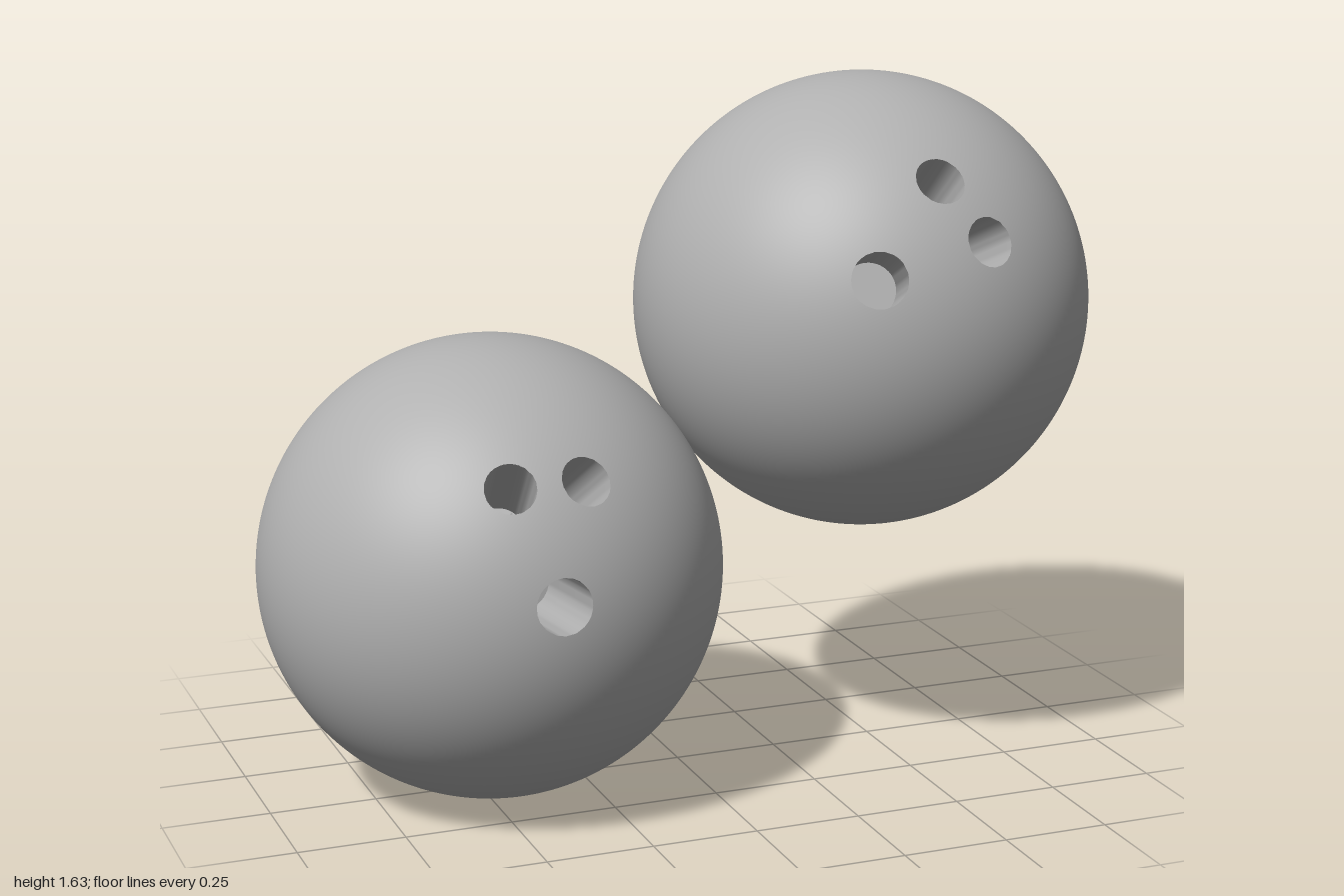
import * as THREE from 'three';
import { toCreasedNormals } from 'three/addons/utils/BufferGeometryUtils.js';

const R = 0.537;        // ball radius
const DEPTH = 0.3;      // finger hole depth

// Sphere whose surface is opened along a round rim at each hole
function drilledSphere(holes) {
  const geo = new THREE.SphereGeometry(R, 192, 112);
  const pos = geo.attributes.position, nor = geo.attributes.normal;
  const inside = new Array(pos.count).fill(false);
  const v = new THREE.Vector3(), side = new THREE.Vector3();
  for (let i = 0; i < pos.count; i++) {
    v.fromBufferAttribute(pos, i).normalize();
    for (const { axis, radius } of holes) {
      const limit = Math.asin(radius / R);
      if (v.angleTo(axis) >= limit) continue;
      // slide the vertex outward along the surface to the rim
      inside[i] = true;
      side.copy(v).addScaledVector(axis, -v.dot(axis)).normalize();
      v.copy(axis).multiplyScalar(Math.cos(limit)).addScaledVector(side, Math.sin(limit));
      nor.setXYZ(i, v.x, v.y, v.z);
      pos.setXYZ(i, v.x * R, v.y * R, v.z * R);
      break;
    }
  }
  // drop the faces that lie wholly within a hole
  const kept = [], idx = geo.index.array;
  for (let i = 0; i < idx.length; i += 3) {
    const [a, b, c] = [idx[i], idx[i + 1], idx[i + 2]];
    if (!(inside[a] && inside[b] && inside[c])) kept.push(a, b, c);
  }
  geo.setIndex(kept);
  return geo;
}

// Inward-facing wall and flat floor of one hole
function holeGeometry(radius) {
  const top = Math.sqrt(R * R - radius * radius);
  const profile = [[radius, top], [radius, top - DEPTH], [0, top - DEPTH]];
  const lathe = new THREE.LatheGeometry(profile.map(([x, y]) => new THREE.Vector2(x, y)), 48);
  return toCreasedNormals(lathe, 0.6);
}

// Ball with holes given as [x, y, radius] offsets on its front half
function makeBall(name, holeList, material) {
  const ball = new THREE.Group();
  ball.name = name;
  const holes = holeList.map(([x, y, radius]) => ({
    axis: new THREE.Vector3(x, y, Math.sqrt(R * R - x * x - y * y)).normalize(),
    radius,
  }));
  const shell = new THREE.Mesh(drilledSphere(holes), material);
  shell.name = 'ballSurface';
  ball.add(shell);
  holes.forEach(({ axis, radius }, i) => {
    const hole = new THREE.Mesh(holeGeometry(radius), material);
    hole.name = i === 0 ? 'thumbHole' : 'fingerHole' + i;
    hole.quaternion.setFromUnitVectors(new THREE.Vector3(0, 1, 0), axis);
    ball.add(hole);
  });
  return ball;
}

export function createModel() {
  const model = new THREE.Group();
  model.name = 'bowlingBalls';
  const grey = new THREE.MeshStandardMaterial({ color: 0xb0b0b0 });
  grey.name = 'grey';

  const lower = makeBall('lowerBall',
    [[0, 0.056, 0.064], [-0.088, 0.303, 0.058], [0.085, 0.303, 0.058]], grey);
  lower.position.set(-0.463, R, 0);

  const upper = makeBall('upperBall',
    [[-0.174, 0.148, 0.064], [0.005, 0.346, 0.058], [0.096, 0.215, 0.058]], grey);
  upper.position.set(0.463, 1.095, 0);

  model.add(lower, upper);
  return model;
}
